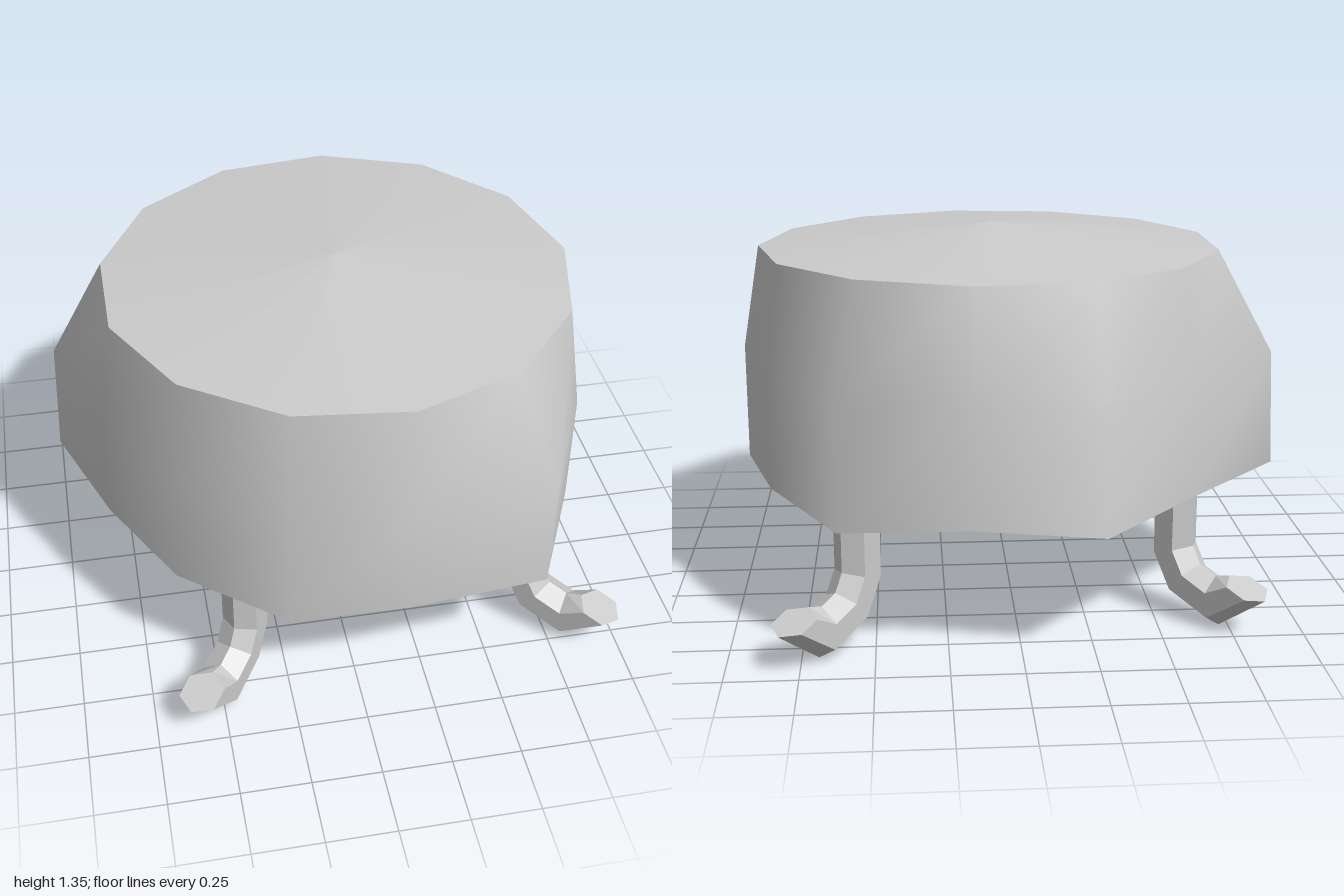
import * as THREE from 'three';

const SIDES = 13, CX = 0.065, CZ = 0.02;

// Skin a series of rings, ordered from bottom to top of the outward surface
function loft(rings) {
  const n = rings[0].length, index = [];
  for (let r = 0; r < rings.length - 1; r++) {
    for (let i = 0; i < n; i++) {
      const a = r * n + i, a2 = r * n + (i + 1) % n;
      index.push(a2, a, a + n, a2, a + n, a2 + n);
    }
  }
  const geo = new THREE.BufferGeometry();
  geo.setAttribute('position', new THREE.Float32BufferAttribute(rings.flat(2), 3));
  geo.setIndex(index);
  geo.computeVertexNormals();
  return geo;
}

function part(name, geo, flatShading) {
  const mat = new THREE.MeshStandardMaterial({ color: 0xcccccc, flatShading, side: THREE.DoubleSide });
  const mesh = new THREE.Mesh(geo, mat);
  mesh.name = name;
  return mesh;
}

// Regular ring about the seat axis; folds replace single corners with [x, z]
function ring(radius, y, folds = {}) {
  return Array.from({ length: SIDES }, (_, i) => {
    const a = i * 2 * Math.PI / SIDES;
    const [x, z] = folds[i] || [CX + radius * Math.cos(a), CZ + radius * Math.sin(a)];
    return [x, y, z];
  });
}

// Six-sided leg, from the slanted toe through the curl and straight up
function legGeometry() {
  const path = [[0.32, 0.165], [0.195, 0.085], [0.06, 0.135], [0, 0.24], [0, 0.66]]
    .map(p => new THREE.Vector2(...p));
  const radius = 0.081, last = path.length - 1;
  const rings = path.map((p, i) => {
    const before = p.clone().sub(path[Math.max(i - 1, 0)]).normalize();
    const after = path[Math.min(i + 1, last)].clone().sub(p).normalize();
    const d = i ? before.clone().add(after).normalize() : new THREE.Vector2(-0.34, -0.94);
    const mitre = i ? 1 / d.dot(before) : 1;
    return Array.from({ length: 6 }, (_, k) => {
      const a = k * Math.PI / 3;
      const u = radius * mitre * Math.cos(a);
      return [p.x + u * d.y, p.y - u * d.x, radius * Math.sin(a)];
    });
  });
  const cap = p => Array.from({ length: 6 }, () => [p.x, p.y, 0]);
  return loft([cap(path[0]), ...rings, cap(path[last])]);
}

export function createModel() {
  const group = new THREE.Group();

  // Draped cover, with a few corners pulled out into folds
  const folds = {
    1: [0.87, 0.45], 2: [0.66, 0.89], 3: [0.16, 0.935], 4: [-0.26, 0.93],
    10: [0.17, -0.89], 11: [0.62, -0.88], 12: [0.87, -0.40],
  };
  const top = ring(0.855, 1.27);
  const middle = ring(0.92, 0.89, { ...folds, 7: [-0.97, -0.21], 9: [-0.27, -0.91] });
  const hem = ring(0.92, 0.46, { ...folds, 7: [-0.99, -0.2], 9: [-0.27, -0.99] });
  const innerHem = hem.map(([x, y, z]) => [CX + (x - CX) * 0.97, y, CZ + (z - CZ) * 0.97]);
  const ceiling = ring(0.78, 0.65);

  group.add(part('coverSide', loft([hem, middle, top]), false));
  group.add(part('seatTop', loft([top, ring(0, 1.35)]), false));
  group.add(part('coverLining', loft([ceiling, innerHem, hem]), true));
  group.add(part('seatUnderside', loft([ring(0, 0.65), ceiling]), true));

  // Four legs: position and outward direction of each
  const legGeo = legGeometry();
  const legs = [
    ['frontLeftLeg', 0.68, 0.58, 0.23, 0.19],
    ['frontRightLeg', -0.39, 0.67, -0.19, 0.25],
    ['backRightLeg', -0.58, -0.49, -0.22, -0.24],
    ['backLeftLeg', 0.56, -0.67, 0.21, -0.25],
  ];
  for (const [name, x, z, dx, dz] of legs) {
    const leg = part(name, legGeo, true);
    leg.position.set(x, 0, z);
    leg.rotation.y = Math.atan2(-dz, dx);
    group.add(leg);
  }
  return group;
}
